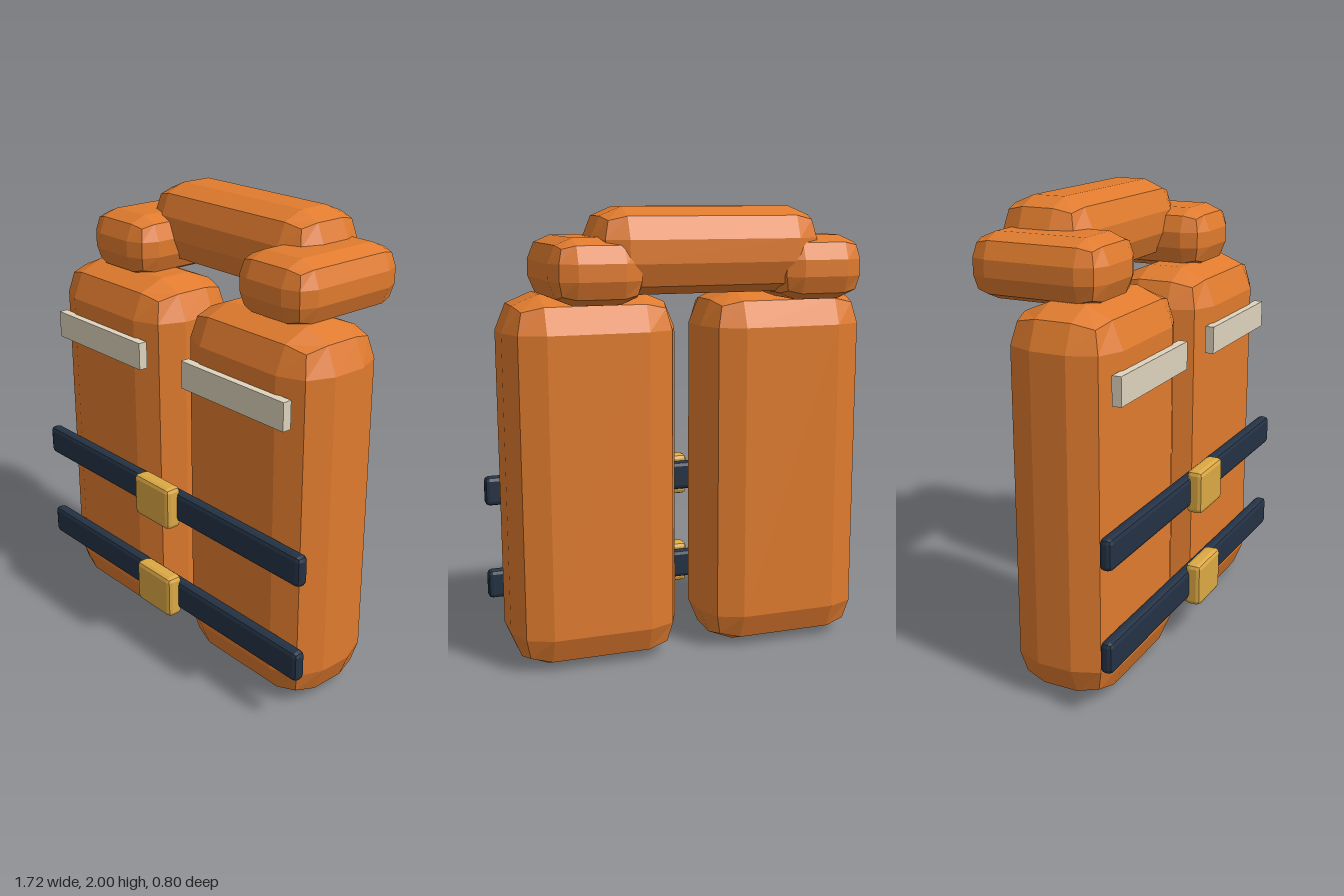
import * as THREE from 'three';

const material = (name, color) => {
  const m = new THREE.MeshStandardMaterial({ color, flatShading: true });
  m.name = name;
  return m;
};

// Box whose edges are rounded with two flat facets per quarter turn
function softBox(w, h, d, r) {
  const flat = new THREE.BoxGeometry(1, 1, 1, 3, 3, 3);
  const pos = flat.attributes.position;
  const core = new THREE.Vector3(w / 2 - r, h / 2 - r, d / 2 - r);
  const p = new THREE.Vector3(), dir = new THREE.Vector3();
  for (let i = 0; i < pos.count; i++) {
    p.fromBufferAttribute(pos, i);
    dir.set(Math.round(p.x * 2), Math.round(p.y * 2), Math.round(p.z * 2)).normalize();
    p.set(Math.sign(p.x), Math.sign(p.y), Math.sign(p.z)).multiply(core).addScaledVector(dir, r);
    pos.setXYZ(i, p.x, p.y, p.z);
  }
  const geometry = flat.toNonIndexed();
  geometry.computeVertexNormals();
  return geometry;
}

export function createModel() {
  const group = new THREE.Group();
  group.name = 'lifeVest';

  const orange = material('orange foam fabric', 0xe07b2e);
  const navy = material('navy webbing', 0x243244);
  const silver = material('reflective tape', 0xded3bd);
  const brass = material('brass buckle', 0xdca945);

  const add = (name, geometry, mat, x, y, z) => {
    const mesh = new THREE.Mesh(geometry, mat);
    mesh.name = name;
    mesh.position.set(x, y, z);
    group.add(mesh);
  };

  // Chest panels, shoulder pads and reflective strips, mirrored
  const panel = softBox(0.76, 1.64, 0.475, 0.16);
  const shoulder = softBox(0.395, 0.27, 0.6, 0.1);
  const strip = new THREE.BoxGeometry(0.6, 0.12, 0.04);
  for (const [side, s] of [['left', 1], ['right', -1]]) {
    add(side + 'ChestPanel', panel, orange, s * 0.44, 0.82, 0.0625);
    add(side + 'ShoulderPad', shoulder, orange, s * 0.482, 1.745, -0.1);
    add(side + 'ReflectiveStrip', strip, silver, s * 0.44, 1.345, 0.312);
  }

  // Collar behind the neck
  add('collar', softBox(0.99, 0.355, 0.4, 0.13), orange, 0, 1.8225, -0.185);

  // Waist straps with buckles
  const strap = softBox(1.72, 0.135, 0.055, 0.02);
  const buckle = softBox(0.235, 0.195, 0.075, 0.02);
  for (const [name, y] of [['upper', 0.725], ['lower', 0.283]]) {
    add(name + 'Strap', strap, navy, 0, y, 0.32);
    add(name + 'Buckle', buckle, brass, 0, y, 0.3625);
  }

  return group;
}
